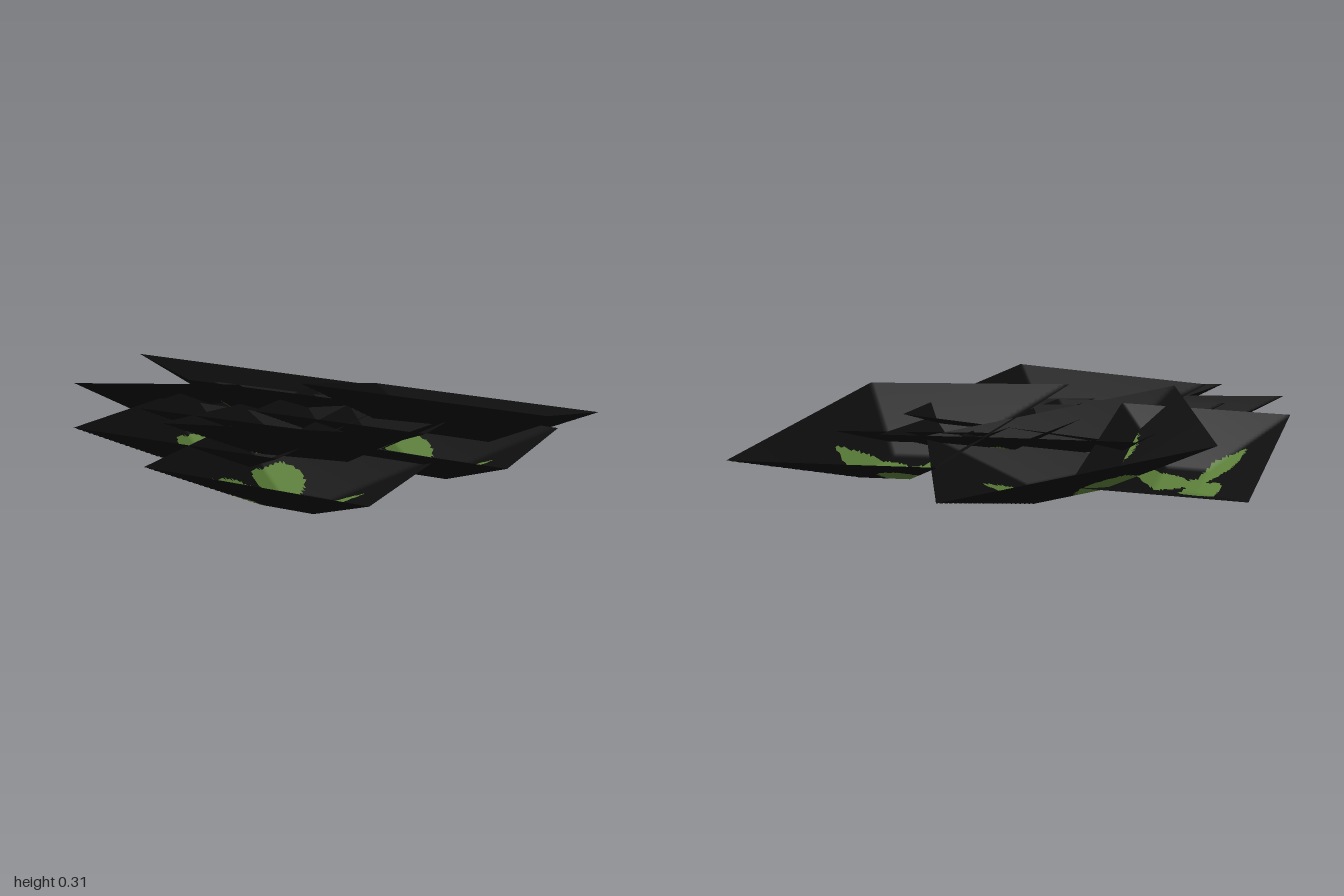
import * as THREE from 'three';

const GRID = 56; // cells per card side

// Three lobes of the leaf in card units: direction, length, half width, bluntness
const LOBES = [
  { angle: 90, length: 0.4, width: 0.09, blunt: 1 },
  { angle: -22, length: 0.3, width: 0.12, blunt: 0.6 },
  { angle: 218, length: 0.36, width: 0.09, blunt: 1 },
];
const LEAF_CENTRE = [0.03, -0.09];

function insideLeaf(s, t) {
  const x = s - LEAF_CENTRE[0], y = t - LEAF_CENTRE[1];
  if (Math.hypot(x, y) < 0.06) return true;
  return LOBES.some(({ angle, length, width, blunt }) => {
    const a = THREE.MathUtils.degToRad(angle);
    const p = (x * Math.cos(a) + y * Math.sin(a)) / length;
    const q = Math.abs(-x * Math.sin(a) + y * Math.cos(a));
    return p > 0 && p < 1 && q < width * Math.pow(Math.sin(Math.PI * p), blunt);
  });
}

// Square card, tilted and dished, with the leaf as a second material group
function cardGeometry({ size, mean, du, dv, depth }) {
  const geo = new THREE.PlaneGeometry(1, 1, GRID, GRID).rotateX(-Math.PI / 2);
  const pos = geo.attributes.position;
  const card = [], leaf = [];
  const index = geo.index.array;
  for (let i = 0; i < index.length; i += 3) {
    const tri = [index[i], index[i + 1], index[i + 2]];
    const s = tri.reduce((sum, k) => sum + pos.getX(k), 0) / 3;
    const t = tri.reduce((sum, k) => sum + pos.getZ(k), 0) / 3;
    (insideLeaf(s, t) ? leaf : card).push(...tri);
  }
  geo.setIndex([...card, ...leaf]);
  geo.clearGroups();
  geo.addGroup(0, card.length, 0);
  geo.addGroup(card.length, leaf.length, 1);

  // Flat floor in the middle, straight rising sides to the rim
  for (let i = 0; i < pos.count; i++) {
    const s = pos.getX(i), t = pos.getZ(i);
    const ring = 2 * Math.max(Math.abs(s), Math.abs(t));
    const rise = Math.max(0, (ring - 0.25) / 0.75);
    pos.setXYZ(i, s * size, mean + du * s + dv * t + depth * (rise - 1), t * size);
  }
  geo.computeVertexNormals();
  return geo;
}

export function createModel() {
  const group = new THREE.Group();
  group.name = 'leafCluster';
  const black = new THREE.MeshStandardMaterial({ color: 0x0d0d0d, side: THREE.DoubleSide });
  black.name = 'cardBlack';
  const green = new THREE.MeshStandardMaterial({ color: 0x5a7d38, side: THREE.DoubleSide });
  green.name = 'leafGreen';

  // Position, turn in degrees, size, rim height, tilt along both sides, dish depth
  const cards = [
    { name: 'rightFrontCard', x: 0.45, z: 0.33, turn: 22, size: 0.85, mean: 0.195, du: -0.175, dv: -0.045, depth: 0.16 },
    { name: 'rightBackCard', x: 0.26, z: -0.33, turn: 57.4, size: 0.86, mean: 0.19, du: -0.08, dv: -0.163, depth: 0.157 },
    { name: 'leftFrontCard', x: -0.54, z: 0.47, turn: 21.7, size: 0.71, mean: 0.18, du: -0.03, dv: -0.053, depth: 0.13 },
    { name: 'frontCard', x: 0.08, z: 0.5, turn: 22, size: 0.72, mean: 0.17, du: -0.035, dv: -0.045, depth: 0.13 },
    { name: 'upperCard', x: -0.18, z: 0.26, turn: 21.5, size: 0.8, mean: 0.23, du: -0.1, dv: 0.03, depth: 0.15 },
    { name: 'leftBackCard', x: -0.39, z: -0.02, turn: 21.7, size: 0.7, mean: 0.19, du: -0.05, dv: -0.04, depth: 0.13 },
    { name: 'backCard', x: -0.035, z: -0.575, turn: 33, size: 0.585, mean: 0.16, du: -0.195, dv: 0.015, depth: 0.1 },
    { name: 'innerRightCard', x: 0.136, z: 0.186, turn: 22, size: 0.6, mean: 0.19, du: -0.04, dv: -0.03, depth: 0.11 },
    { name: 'innerLeftCard', x: -0.086, z: -0.063, turn: 22, size: 0.68, mean: 0.2, du: -0.05, dv: -0.03, depth: 0.13 },
  ];
  for (const c of cards) {
    const mesh = new THREE.Mesh(cardGeometry(c), [black, green]);
    mesh.name = c.name;
    mesh.position.set(c.x, 0, c.z);
    mesh.rotation.y = THREE.MathUtils.degToRad(c.turn);
    group.add(mesh);
  }
  return group;
}
